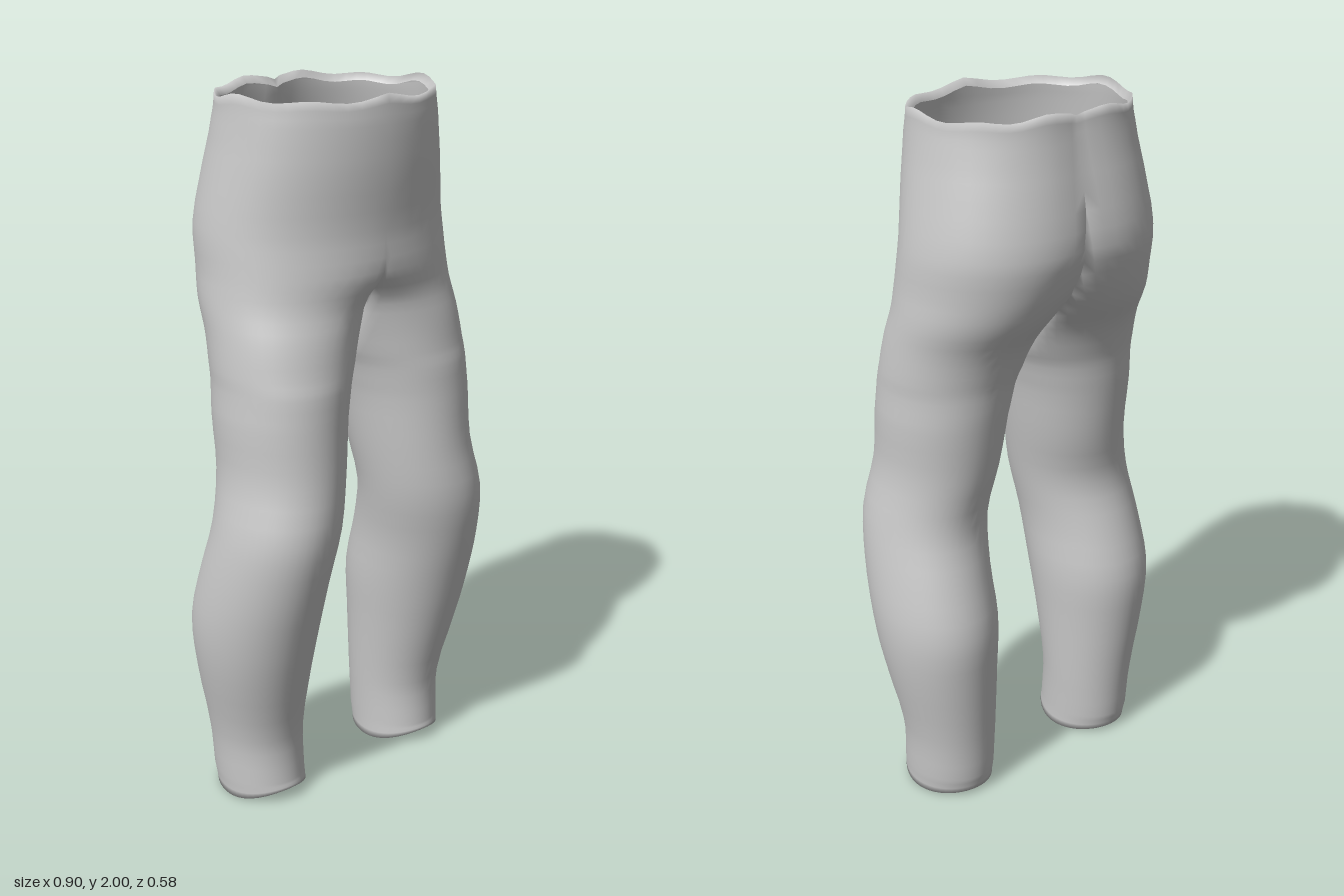
import * as THREE from 'three';
import { mergeVertices } from 'three/addons/utils/BufferGeometryUtils.js';

// Cross-sections of one half, from cuff to waist:
// height, inner x, front bulge x, back bulge x, outer x, front z, back z
const SECTIONS = [
  [0.00, 0.140, 0.26, 0.26, 0.380, 0.155, -0.130],
  [0.06, 0.140, 0.26, 0.26, 0.385, 0.150, -0.140],
  [0.20, 0.135, 0.265, 0.265, 0.395, 0.143, -0.148],
  [0.40, 0.125, 0.28, 0.28, 0.435, 0.190, -0.165],
  [0.55, 0.115, 0.285, 0.285, 0.452, 0.230, -0.170],
  [0.70, 0.112, 0.28, 0.28, 0.445, 0.268, -0.130],
  [0.85, 0.090, 0.265, 0.265, 0.425, 0.292, -0.090],
  [1.00, 0.065, 0.23, 0.23, 0.395, 0.277, -0.110],
  [1.15, 0.045, 0.22, 0.22, 0.395, 0.265, -0.130],
  [1.24, 0.025, 0.21, 0.21, 0.390, 0.258, -0.140],
  [1.29, 0.004, 0.195, 0.20, 0.390, 0.248, -0.150],
  [1.38, -0.030, 0.17, 0.18, 0.385, 0.235, -0.180],
  [1.46, -0.070, 0.12, 0.15, 0.380, 0.225, -0.230],
  [1.54, -0.150, 0.03, 0.12, 0.372, 0.243, -0.265],
  [1.65, -0.200, 0.00, 0.09, 0.365, 0.240, -0.292],
  [1.80, -0.250, 0.00, 0.08, 0.340, 0.250, -0.270],
  [1.92, -0.280, 0.00, 0.07, 0.320, 0.250, -0.245],
  [2.00, -0.300, 0.00, 0.07, 0.312, 0.243, -0.235],
];
const SIDES = 48;
const STEPS = 3;
const CROTCH = 1.45;

// Catmull-Rom between neighbouring sections
function sectionAt(k, t) {
  const at = (i) => SECTIONS[Math.min(Math.max(i, 0), SECTIONS.length - 1)];
  const [a, b, c, d] = [at(k - 1), at(k), at(k + 1), at(k + 2)];
  return b.map((v, i) => i === 0
    ? v + (c[0] - v) * t
    : v + 0.5 * t * (c[i] - a[i] + t * (2 * a[i] - 5 * v + 4 * c[i] - d[i] + t * (3 * (v - c[i]) + d[i] - a[i]))));
}

// One rounded ring; the thighs stop just short of the middle, the hips meet there
function ring(section, inset = 1, lift = 0) {
  const [y, xin, cxFront, cxBack, xout, zf, zb] = section;
  const cz = (zf + zb) / 2, rz = (zf - zb) / 2 * inset;
  const middle = y < CROTCH ? 0.006 : 0;
  const points = [];
  for (let j = 0; j < SIDES; j++) {
    const angle = (j / SIDES) * Math.PI * 2;
    const c = Math.cos(angle), s = Math.sin(angle);
    const cx = s >= 0 ? cxFront : cxBack;
    let x = cx + c * inset * (c > 0 ? xout - cx : cx - xin);
    if (x < middle + 1e-5) x = middle;
    // Uneven waist edge, and a cuff raised at the front
    const waist = Math.max(0, (y - 1.92) / 0.08);
    const cuff = Math.max(0, 1 - y / 0.06);
    const edge = cuff * (s > 0 ? 0.04 : 0.015) * s * s
      - waist * 0.012 * (1 - Math.sin(angle * 6 + 1) * Math.cos(angle * 2));
    points.push([x, y + lift + edge, cz + s * rz]);
  }
  return points;
}

function trouserGeometry() {
  // Folded cuff, leg and hip, folded waist
  const rings = [ring(SECTIONS[0], 0.9, 0.006)];
  for (let k = 0; k < SECTIONS.length - 1; k++) {
    for (let i = 0; i < STEPS; i++) rings.push(ring(sectionAt(k, i / STEPS)));
  }
  const top = SECTIONS[SECTIONS.length - 1];
  rings.push(ring(top), ring(top, 0.95, -0.02));

  const positions = [], indices = [];
  for (const side of [1, -1]) {
    const base = positions.length / 3;
    rings.flat().forEach(([x, y, z]) => positions.push(side * x, y, z));
    const addFace = (a, b, c) => {
      // Leave the inside of the hips open
      if ([a, b, c].every((i) => positions[(base + i) * 3] === 0)) return;
      indices.push(base + a, base + (side > 0 ? b : c), base + (side > 0 ? c : b));
    };
    for (let k = 0; k < rings.length - 1; k++) {
      for (let j = 0; j < SIDES; j++) {
        const a = k * SIDES + j, b = k * SIDES + (j + 1) % SIDES;
        addFace(a, a + SIDES, b);
        addFace(b, a + SIDES, b + SIDES);
      }
    }
  }
  const geometry = new THREE.BufferGeometry();
  geometry.setAttribute('position', new THREE.Float32BufferAttribute(positions, 3));
  geometry.setIndex(indices);
  // Join the halves along the middle so they shade smoothly
  const joined = mergeVertices(geometry, 1e-4);
  joined.computeVertexNormals();
  return joined;
}

export function createModel() {
  const cloth = new THREE.MeshStandardMaterial({ color: 0xc8c8c8, side: THREE.DoubleSide });
  cloth.name = 'grey cloth';
  const trousers = new THREE.Mesh(trouserGeometry(), cloth);
  trousers.name = 'trousers';
  const model = new THREE.Group();
  model.name = 'trousersModel';
  model.add(trousers);
  return model;
}
